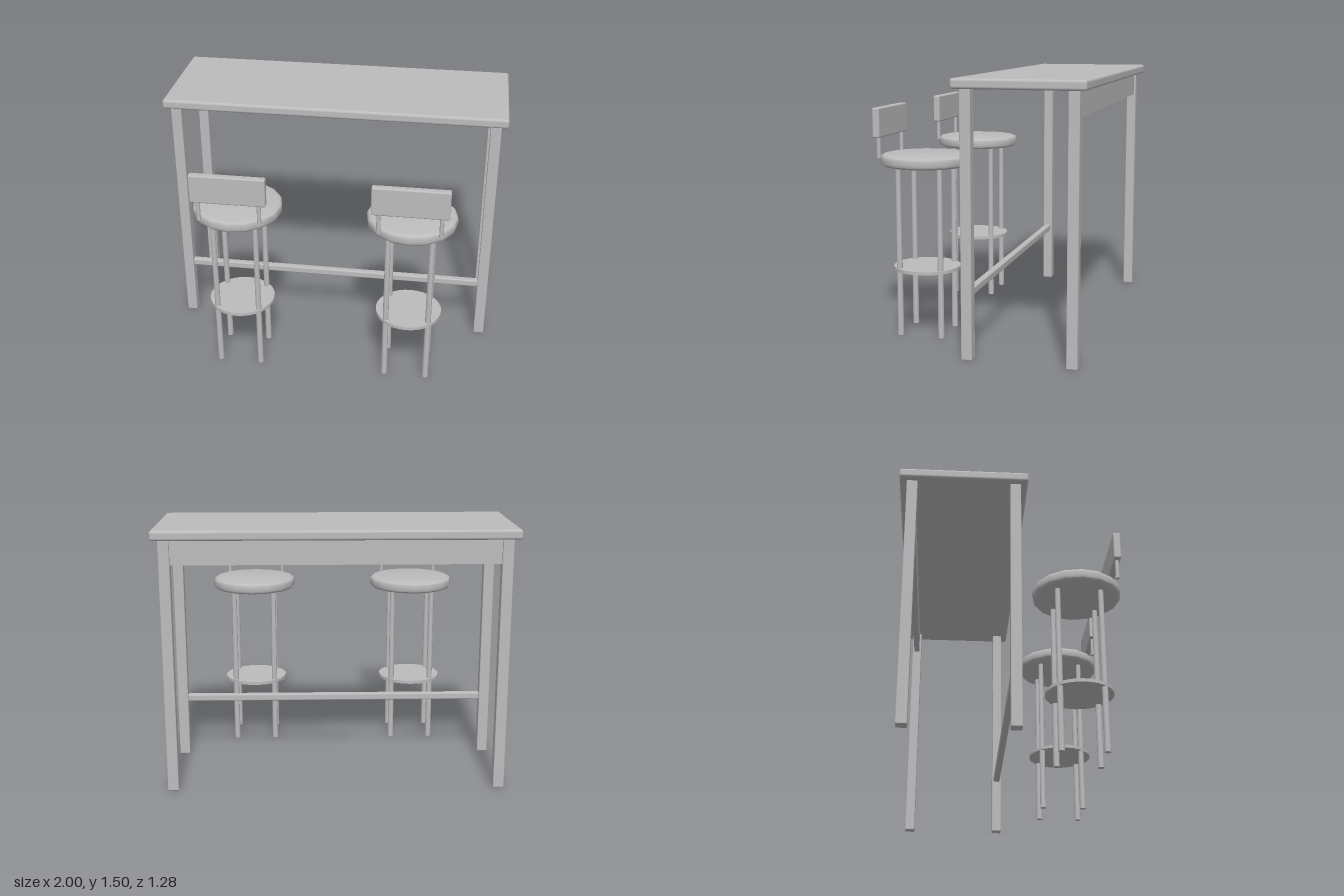
import * as THREE from 'three';
import { RoundedBoxGeometry } from 'three/addons/geometries/RoundedBoxGeometry.js';
import { toCreasedNormals } from 'three/addons/utils/BufferGeometryUtils.js';

const grey = new THREE.MeshStandardMaterial({ color: 0xbcbcbc });
grey.name = 'grey';

function add(parent, name, geometry, x, y, z) {
  const mesh = new THREE.Mesh(geometry, grey);
  mesh.name = name;
  mesh.position.set(x, y, z);
  parent.add(mesh);
  return mesh;
}

// Round cushion: flat faces with a rounded rim
function seatGeometry(radius, height, bevel) {
  const points = [new THREE.Vector2(0, 0)];
  for (let i = 0; i <= 3; i++) {
    const a = (i / 3) * Math.PI / 2;
    points.push(new THREE.Vector2(radius - bevel + bevel * Math.sin(a), bevel - bevel * Math.cos(a)));
  }
  for (let i = 0; i <= 3; i++) {
    const a = (i / 3) * Math.PI / 2;
    points.push(new THREE.Vector2(radius - bevel + bevel * Math.cos(a), height - bevel + bevel * Math.sin(a)));
  }
  points.push(new THREE.Vector2(0, height));
  return toCreasedNormals(new THREE.LatheGeometry(points, 16), 0.6);
}

function createTable() {
  const table = new THREE.Group();
  table.name = 'table';
  const frontZ = 0.003, backZ = -0.57, legX = 0.932;

  add(table, 'tableTop', new RoundedBoxGeometry(2, 0.055, 0.714, 3, 0.015), 0, 1.4725, -0.284);

  const legGeometry = new RoundedBoxGeometry(0.062, 1.45, 0.06, 2, 0.005);
  for (const x of [-legX, legX]) {
    for (const z of [frontZ, backZ]) add(table, 'tableLeg', legGeometry, x, 0.725, z);
  }

  // Apron under the back edge, foot rail between the front legs
  add(table, 'backApron', new THREE.BoxGeometry(1.81, 0.145, 0.035), 0, 1.3775, backZ);
  add(table, 'footRail', new RoundedBoxGeometry(1.81, 0.042, 0.04, 2, 0.008), 0, 0.361, frontZ);
  return table;
}

function createStool() {
  const stool = new THREE.Group();
  stool.name = 'stool';

  add(stool, 'seat', seatGeometry(0.257, 0.067, 0.022), 0, 0.978, 0);

  // Slightly tapered legs
  const legGeometry = new THREE.CylinderGeometry(0.015, 0.018, 0.985, 12);
  for (const x of [-0.123, 0.123]) {
    for (const z of [-0.123, 0.123]) add(stool, 'stoolLeg', legGeometry, x, 0.4925, z);
  }

  add(stool, 'footPlate', new THREE.CylinderGeometry(0.193, 0.193, 0.019, 32), 0, 0.385, 0);

  // Backrest on two short posts
  const postGeometry = new THREE.CylinderGeometry(0.012, 0.012, 0.13, 12);
  for (const x of [-0.171, 0.171]) add(stool, 'backPost', postGeometry, x, 1.097, 0.216);
  add(stool, 'backrest', new RoundedBoxGeometry(0.425, 0.168, 0.042, 3, 0.009), 0, 1.231, 0.216);
  return stool;
}

export function createModel() {
  const model = new THREE.Group();
  model.name = 'barTableWithStools';
  model.add(createTable());
  for (const x of [-0.5, 0.5]) {
    const stool = createStool();
    stool.position.set(x, 0, 0.386);
    model.add(stool);
  }
  return model;
}
